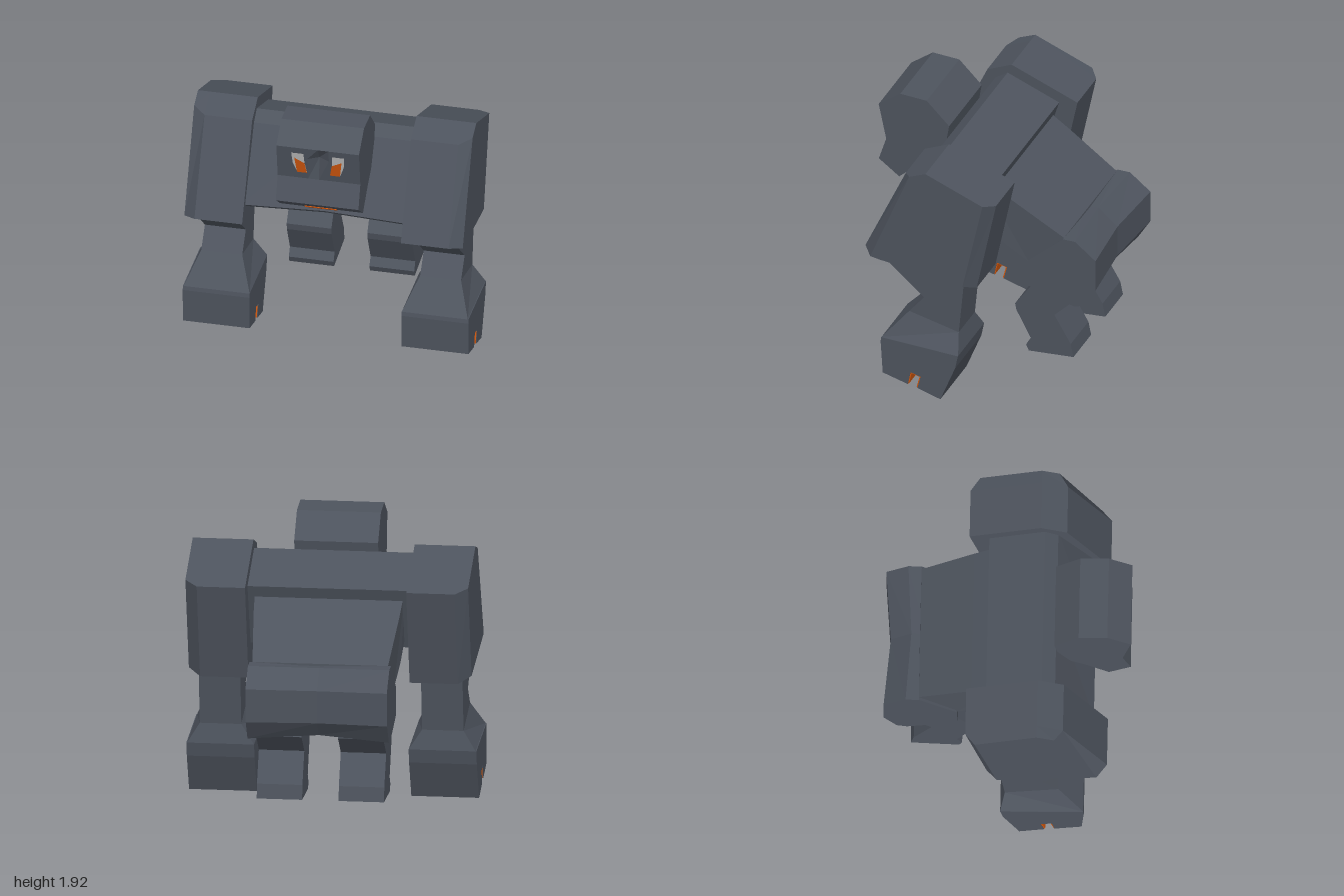
import * as THREE from 'three';

const slate = new THREE.MeshStandardMaterial({ color: 0x4d535d });
slate.name = 'slate';
slate.flatShading = true;
const orange = new THREE.MeshStandardMaterial({ color: 0xcf560c, side: THREE.DoubleSide });
orange.name = 'orange';
const paleGrey = new THREE.MeshStandardMaterial({ color: 0xb8b8b8, side: THREE.DoubleSide });
paleGrey.name = 'paleGrey';

// Solid through side profiles placed at rising x. Profile points are [z, y] or [z, y, own x].
function loft(name, stations, material = slate) {
  const flat = stations[0].pts.map(p => new THREE.Vector2(p[0], p[1]));
  const flip = THREE.ShapeUtils.area(flat) < 0;
  const rings = stations.map(({ x, pts }) => {
    const ring = pts.map(p => [p[2] ?? x, p[1], p[0]]);
    return flip ? ring.reverse() : ring;
  });
  if (flip) flat.reverse();
  const pos = [];
  const tri = (a, b, c) => pos.push(...a, ...b, ...c);
  const first = rings[0], last = rings[rings.length - 1], n = first.length;
  for (let s = 0; s + 1 < rings.length; s++) {
    for (let i = 0; i < n; i++) {
      const j = (i + 1) % n, a = rings[s], b = rings[s + 1];
      tri(a[i], b[i], b[j]);
      tri(a[i], b[j], a[j]);
    }
  }
  for (const [a, b, c] of THREE.ShapeUtils.triangulateShape(flat, [])) {
    tri(first[a], first[b], first[c]);
    tri(last[a], last[c], last[b]);
  }
  const geo = new THREE.BufferGeometry();
  geo.setAttribute('position', new THREE.Float32BufferAttribute(pos, 3));
  geo.computeVertexNormals();
  const mesh = new THREE.Mesh(geo, material);
  mesh.name = name;
  return mesh;
}

const prism = (name, x0, x1, pts, material) => loft(name, [{ x: x0, pts }, { x: x1, pts }], material);

// The same stations on the other side of the model
const mirror = stations => stations.map(({ x, pts }) => ({
  x: -x, pts: pts.map(p => p.length > 2 ? [p[0], p[1], -p[2]] : p),
})).reverse();

// Thin painted plate lying on the tilted face
function facePlate(name, side, pts, lift, material) {
  const geo = new THREE.ShapeGeometry(new THREE.Shape(pts.map(p => new THREE.Vector2(p[0] * side, p[1]))));
  const pos = geo.attributes.position;
  for (let i = 0; i < pos.count; i++) pos.setZ(i, 0.84 - (1.79 - pos.getY(i)) * 0.2075 + lift);
  geo.computeVertexNormals();
  const mesh = new THREE.Mesh(geo, material);
  mesh.name = name;
  return mesh;
}

function createHead() {
  const head = new THREE.Group();
  head.name = 'head';
  // Profile with the point between the eyes pushed in by a dent
  const profile = dent => [
    [0.84, 1.79], [0.68, 1.91], [0.485, 1.9], [0.32, 1.735], [0.36, 1.5], [0.55, 1.37],
    [0.69, 1.245], [0.84, 1.355], [0.785, 1.525], [0.821 - dent, 1.7],
  ];
  head.add(loft('skull', [[-0.288, 0], [-0.075, 0], [0, 0.045], [0.075, 0], [0.288, 0]]
    .map(([x, dent]) => ({ x, pts: profile(dent) }))));
  for (const side of [1, -1]) {
    head.add(facePlate('eye', side,
      [[0.095, 1.665], [0.1, 1.745], [0.185, 1.745], [0.178, 1.66], [0.15, 1.58], [0.08, 1.58]], 0.004, paleGrey));
    head.add(facePlate('pupil', side, [[0.095, 1.665], [0.165, 1.705], [0.15, 1.58], [0.08, 1.58]], 0.008, orange));
  }
  // Mouth plate on the slope of the chin
  head.add(prism('mouth', -0.11, 0.11,
    [[0.727, 1.272], [0.69, 1.245], [0.692, 1.24], [0.73, 1.268]], orange));
  return head;
}

function createBody() {
  const body = new THREE.Group();
  body.name = 'body';
  const chest = lift => [
    [0.24, 1.7], [0.33, 1.64], [0.595, 1.14 + lift], [0.56, 1.11 + lift], [0, 1.1], [-0.14, 1.55],
  ];
  body.add(loft('chest', [
    { x: -0.58, pts: chest(0) }, { x: 0, pts: chest(0.025) }, { x: 0.58, pts: chest(0) },
  ]));

  // Waist narrows towards the hips
  const waist = [
    [0, 1.54, 0.515], [-0.24, 1.39, 0.5], [-0.6, 1.16, 0.465], [-0.62, 0.9, 0.46],
    [-0.34, 0.91, 0.47], [-0.16, 1.04, 0.495], [0.05, 1.2, 0.51],
  ];
  const waistMid = waist.map(([z, y], i) => [z, i > 3 ? y - 0.03 : y]);
  const waistSide = { x: 0.5, pts: waist };
  body.add(loft('waist', [...mirror([waistSide]), { x: 0, pts: waistMid }, waistSide]));

  const hip = [
    [-0.6, 1.16], [-0.69, 1.16], [-0.84, 1.04], [-0.84, 0.805],
    [-0.75, 0.66], [-0.68, 0.64], [-0.335, 0.73], [-0.34, 0.93],
  ];
  const hipMid = [
    [-0.56, 1.14], [-0.66, 1.15], [-0.8, 1.03], [-0.8, 0.8],
    [-0.72, 0.69], [-0.66, 0.67], [-0.33, 0.7], [-0.32, 0.88],
  ];
  body.add(loft('hips', [{ x: -0.485, pts: hip }, { x: 0, pts: hipMid }, { x: 0.485, pts: hip }]));
  return body;
}

function createLimbs(side) {
  const limbs = new THREE.Group();
  limbs.name = side > 0 ? 'leftLimbs' : 'rightLimbs';
  const add = (name, stations, material) =>
    limbs.add(loft(name, side > 0 ? stations : mirror(stations), material));
  const span = (a, b, pts) => [{ x: a, pts }, { x: b, pts }];

  // Shoulder block with bevelled outer edges
  const wide = [[0.21, 1.77], [-0.275, 1.58], [-0.13, 0.89], [0.56, 1], [0.69, 1.04], [0.39, 1.69]];
  const narrow = [[0.21, 1.77], [-0.21, 1.605], [-0.06, 0.93], [0.56, 1.005], [0.62, 1.015], [0.33, 1.72]];
  add('shoulder', [{ x: 0.553, pts: wide }, { x: 0.885, pts: wide }, { x: 0.97, pts: narrow }]);

  // Arm, flared wrist and notched fist
  add('arm', span(0.62, 0.905,
    [[0.62, 1.05], [0.56, 1], [0.25, 0.735], [0.36, 0.6], [-0.005, 0.515], [-0.045, 0.93], [-0.05, 1.05]]));
  const wrist = [[0.36, 0.6], [0.53, 0.4], [-0.035, 0.38], [-0.005, 0.515]];
  add('wrist', [
    { x: 0.62, pts: wrist.map((p, i) => [...p, i === 1 || i === 2 ? 0.53 : 0.62]) },
    { x: 0.905, pts: wrist.map((p, i) => [...p, i === 1 || i === 2 ? 0.99 : 0.905]) },
  ]);
  add('fist', span(0.53, 0.995, [
    [0.53, 0.4], [0.535, 0.37], [0.52, 0.12], [0.335, 0.07], [0.315, 0.17], [0.24, 0.15],
    [0.265, 0.055], [0.095, 0.005], [-0.015, 0.28], [-0.035, 0.38],
  ]));
  // Glowing lining inside the notch
  add('notchLining', span(0.534, 0.991, [
    [0.335, 0.072], [0.315, 0.17], [0.24, 0.15], [0.265, 0.057],
    [0.272, 0.06], [0.25, 0.146], [0.309, 0.161], [0.328, 0.074],
  ]), orange);

  // Hind leg
  add('hindLeg', span(0.125, 0.437, [
    [-0.36, 0.72], [-0.225, 0.53], [-0.235, 0.48], [-0.34, 0.28], [-0.305, 0.22], [-0.325, 0.175],
    [-0.655, 0.2], [-0.635, 0.3], [-0.515, 0.505], [-0.66, 0.65], [-0.6, 0.78], [-0.4, 0.78],
  ]));
  return limbs;
}

export function createModel() {
  const model = new THREE.Group();
  model.name = 'stoneBeast';
  const figure = new THREE.Group();
  figure.name = 'figure';
  figure.add(createHead(), createBody(), createLimbs(1), createLimbs(-1));
  // Slight lean and turn
  figure.rotation.set(0, 0.015, -0.008);
  figure.position.set(-0.003, 0.004, 0);
  model.add(figure);
  return model;
}
